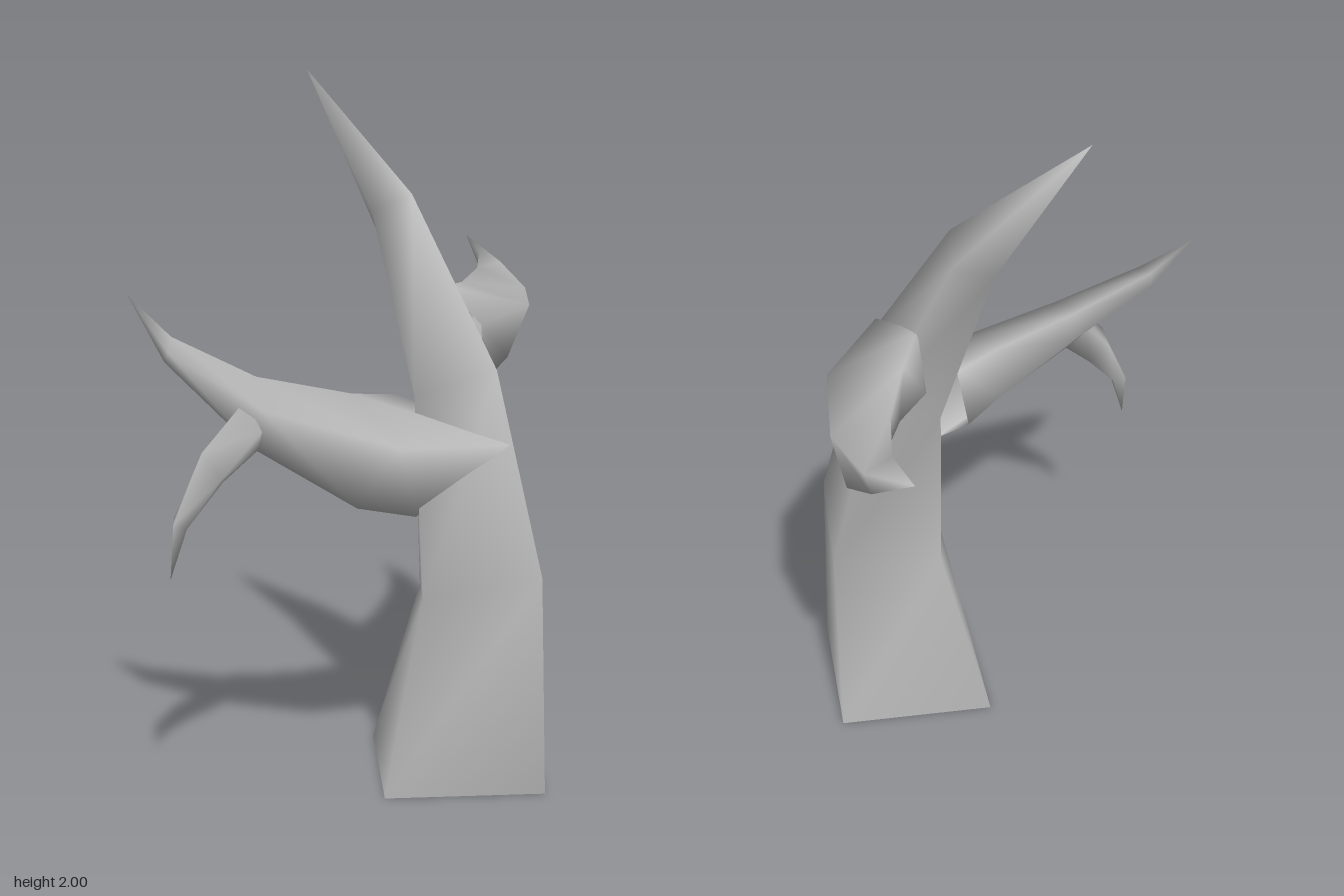
import * as THREE from 'three';

const bark = new THREE.MeshStandardMaterial({ color: 0xbcbcbc, side: THREE.DoubleSide });
bark.name = 'grey bark';

// Skin four-cornered cross-sections and close them in a pointed tip.
// Corners run counterclockwise about the direction of growth.
function limb(name, sections, tip) {
  const n = 4, index = [];
  const position = [...sections.flat(2), ...tip];
  const last = sections.length - 1;
  for (let i = 0; i <= last; i++) {
    for (let j = 0; j < n; j++) {
      const a = i * n + j, b = i * n + (j + 1) % n;
      if (i < last) index.push(a, b, b + n, a, b + n, a + n);
      else index.push(a, b, sections.length * n);
    }
  }
  const geometry = new THREE.BufferGeometry();
  geometry.setAttribute('position', new THREE.Float32BufferAttribute(position, 3));
  geometry.setIndex(index);
  geometry.computeVertexNormals();
  const mesh = new THREE.Mesh(geometry, bark);
  mesh.name = name;
  return mesh;
}

export function createModel() {
  const tree = new THREE.Group();
  tree.name = 'deadTree';

  // Trunk, open at the base: front, left, back, right corners
  tree.add(limb('trunk', [
    [[0.01, 0, 0.465], [0.33, 0, 0.15], [0.01, 0, -0.19], [-0.31, 0, 0.15]],
    [[0.01, 0.62, 0.445], [0.25, 0.57, 0.22], [0.01, 0.52, 0], [-0.23, 0.57, 0.22]],
    [[0.01, 1.18, 0.28], [0.18, 1.11, 0.12], [0.01, 1.04, 0], [-0.15, 1.11, 0.12]],
    [[0.01, 1.65, -0.03], [0.1, 1.6, -0.1], [0.01, 1.55, -0.17], [-0.08, 1.6, -0.1]],
  ], [0.01, 2, -0.44]));

  // Left branch: top, front, bottom, back corners
  tree.add(limb('leftBranch', [
    [[0.12, 1.385, 0], [0.02, 1.3, 0.215], [0.18, 1.11, 0.1], [0.15, 1.22, -0.05]],
    [[0.28, 1.38, -0.07], [0.35, 1.32, 0.13], [0.39, 1.15, 0.02], [0.3, 1.22, -0.07]],
    [[0.5, 1.4, -0.19], [0.59, 1.34, -0.07], [0.62, 1.23, -0.14], [0.53, 1.29, -0.19]],
    [[0.67, 1.43, -0.32], [0.73, 1.4, -0.28], [0.74, 1.36, -0.31], [0.69, 1.37, -0.33]],
  ], [0.78, 1.475, -0.465]));

  // Right branch: top, back, bottom, front corners
  tree.add(limb('rightBranch', [
    [[-0.13, 1.105, 0.04], [-0.15, 0.92, 0.01], [-0.19, 0.785, 0.16], [0, 0.98, 0.335]],
    [[-0.27, 1.12, 0], [-0.28, 0.95, -0.01], [-0.36, 0.83, 0.1], [-0.35, 1.01, 0.25]],
    [[-0.5, 1.18, -0.135], [-0.51, 1.08, -0.13], [-0.57, 1, -0.07], [-0.61, 1.12, 0]],
    [[-0.66, 1.29, -0.29], [-0.67, 1.24, -0.29], [-0.71, 1.23, -0.26], [-0.73, 1.26, -0.22]],
  ], [-0.73, 1.4, -0.38]));

  // Drooping twig: front, outer, back, inner corners
  tree.add(limb('twig', [
    [[-0.6, 1.06, -0.01], [-0.61, 1.14, -0.06], [-0.58, 1.09, -0.13], [-0.57, 1, -0.06]],
    [[-0.69, 0.94, -0.07], [-0.72, 1.01, -0.11], [-0.68, 0.98, -0.16], [-0.65, 0.92, -0.11]],
    [[-0.755, 0.81, -0.135], [-0.78, 0.82, -0.16], [-0.755, 0.83, -0.187], [-0.73, 0.82, -0.16]],
  ], [-0.79, 0.675, -0.165]));

  return tree;
}
